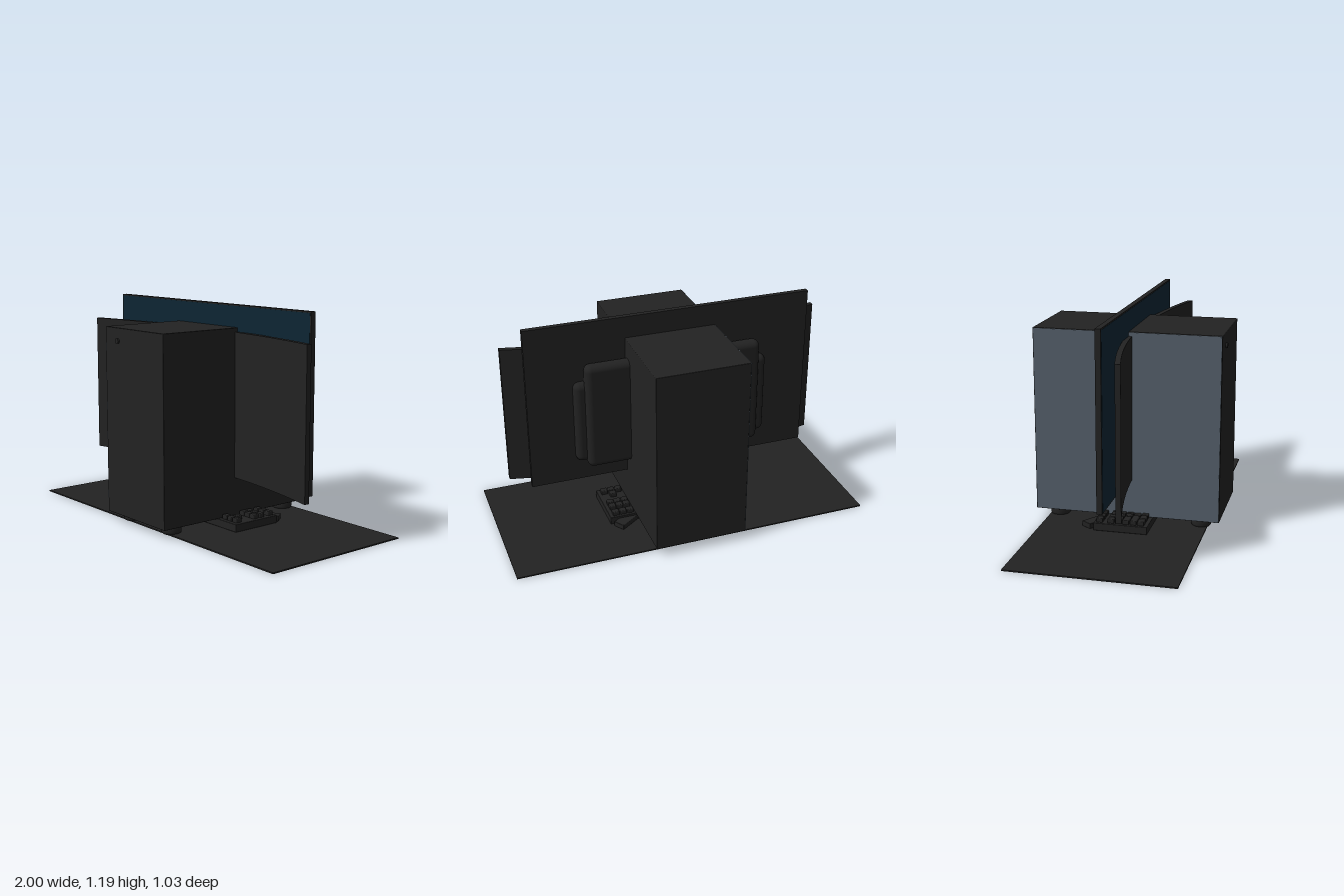
import * as THREE from 'three';
import { RoundedBoxGeometry } from 'three/addons/geometries/RoundedBoxGeometry.js';

const mat = (name, color) => {
  const m = new THREE.MeshStandardMaterial({ color });
  m.name = name;
  return m;
};

export function createModel() {
  const black = mat('matte black', 0x222222);
  const screenBlue = mat('screen navy', 0x0d2533);
  const glassGrey = mat('glass grey blue', 0x55606b);

  const root = new THREE.Group();
  root.name = 'deskSetup';

  const add = (name, geometry, material, x, y, z, parent = root) => {
    const mesh = new THREE.Mesh(geometry, material);
    mesh.name = name;
    mesh.position.set(x, y, z);
    parent.add(mesh);
    return mesh;
  };
  // Box given by its limits, with optional rounded edges
  const box = (name, material, [x0, x1], [y0, y1], [z0, z1], radius = 0, parent = root) => {
    const size = [x1 - x0, y1 - y0, z1 - z0];
    const geometry = radius
      ? new RoundedBoxGeometry(...size, 3, radius)
      : new THREE.BoxGeometry(...size);
    return add(name, geometry, material, (x0 + x1) / 2, (y0 + y1) / 2, (z0 + z1) / 2, parent);
  };

  box('deskMat', black, [-1, 1], [0, 0.007], [-0.45, 0.435]);

  // Computer tower with glass side, power button and feet
  const tower = new THREE.Group();
  tower.name = 'tower';
  root.add(tower);
  box('towerCase', black, [-0.253, 0.255], [0.05, 1.07], [-0.515, 0.507], 0.004, tower);
  box('glassPanel', glassGrey, [-0.256, -0.252], [0.053, 1.067], [-0.512, 0.504], 0, tower);
  const button = add('powerButton', new THREE.CylinderGeometry(0.014, 0.014, 0.012, 16), black, -0.14, 1.0, 0.511, tower);
  button.rotation.x = Math.PI / 2;
  const footProfile = [[0, 0], [0.045, 0], [0.053, 0.008], [0.055, 0.015], [0.055, 0.035], [0.052, 0.043], [0.045, 0.05], [0, 0.05]]
    .map(([r, y]) => new THREE.Vector2(r, y));
  const footGeometry = new THREE.LatheGeometry(footProfile, 24);
  for (const x of [-0.17, 0.17])
    for (const z of [-0.402, 0.397])
      add('towerFoot', footGeometry, black, x, 0.001, z, tower);

  // Flat monitor
  box('flatMonitor', black, [-0.8, 0.8], [0.26, 1.19], [-0.017, 0.012]);
  box('flatScreen', screenBlue, [-0.792, 0.792], [0.268, 1.183], [0.011, 0.0135]);
  box('flatMonitorHousing', black, [-0.495, 0.495], [0.36, 0.967], [-0.098, -0.018], 0.034);

  // Curved monitor: a thin box bent towards the front at both ends
  const curved = new THREE.BoxGeometry(1.796, 0.787, 0.029, 32, 1, 1);
  const p = curved.attributes.position;
  for (let i = 0; i < p.count; i++) p.setZ(i, p.getZ(i) + 0.14 * p.getX(i) ** 2);
  curved.computeVertexNormals();
  add('curvedMonitor', curved, black, 0, 0.6535, 0.007);
  box('curvedMonitorHousing', black, [-0.55, 0.55], [0.385, 0.857], [-0.06, 0.02], 0.034);

  // Monitor stand: post and two splayed legs
  box('standPost', black, [-0.04, 0.04], [0.007, 0.6], [-0.05, 0.01]);
  for (const side of [-1, 1]) {
    const pivot = new THREE.Group();
    pivot.name = 'standLeg';
    pivot.position.set(0, 0, 0.06);
    pivot.rotation.y = side > 0 ? 0.611 : Math.PI - 0.611;
    root.add(pivot);
    box('standLegBar', black, [0, 0.45], [0.007, 0.037], [-0.033, 0.033], 0.004, pivot);
  }

  // Keyboard with a main block and a navigation block
  const keyboard = new THREE.Group();
  keyboard.name = 'keyboard';
  root.add(keyboard);
  box('keyboardBody', black, [-0.4, 0.4], [0.007, 0.05], [-0.15, 0.145], 0.004, keyboard);
  const unit = 0.041;
  const key = (x, z, width) =>
    box('key', black, [x + 0.002, x + width * unit - 0.002], [0.048, 0.073], [z - 0.0185, z + 0.0185], 0.005, keyboard);
  const ones = (n) => Array(n).fill(1);
  const rows = [
    [-0.119, ones(15), [1, 1, 1]],
    [-0.057, [...ones(13), 2], [1, 1, 1]],
    [-0.016, [1.5, ...ones(12), 1.5], [1, 1, 1]],
    [0.025, [1.75, ...ones(11), 2.25], []],
    [0.066, [2.25, ...ones(10), 2.75], [0, 1]],
    [0.107, [1.25, 1.25, 1.25, 6.25, 1.25, 1.25, 1.25, 1.25], [1, 1, 1]],
  ];
  for (const [z, main, nav] of rows) {
    let x = -0.388;
    for (const width of main) {
      key(x, z, width);
      x += width * unit;
    }
    nav.forEach((width, i) => width && key(0.26 + i * unit, z, width));
  }

  return root;
}
